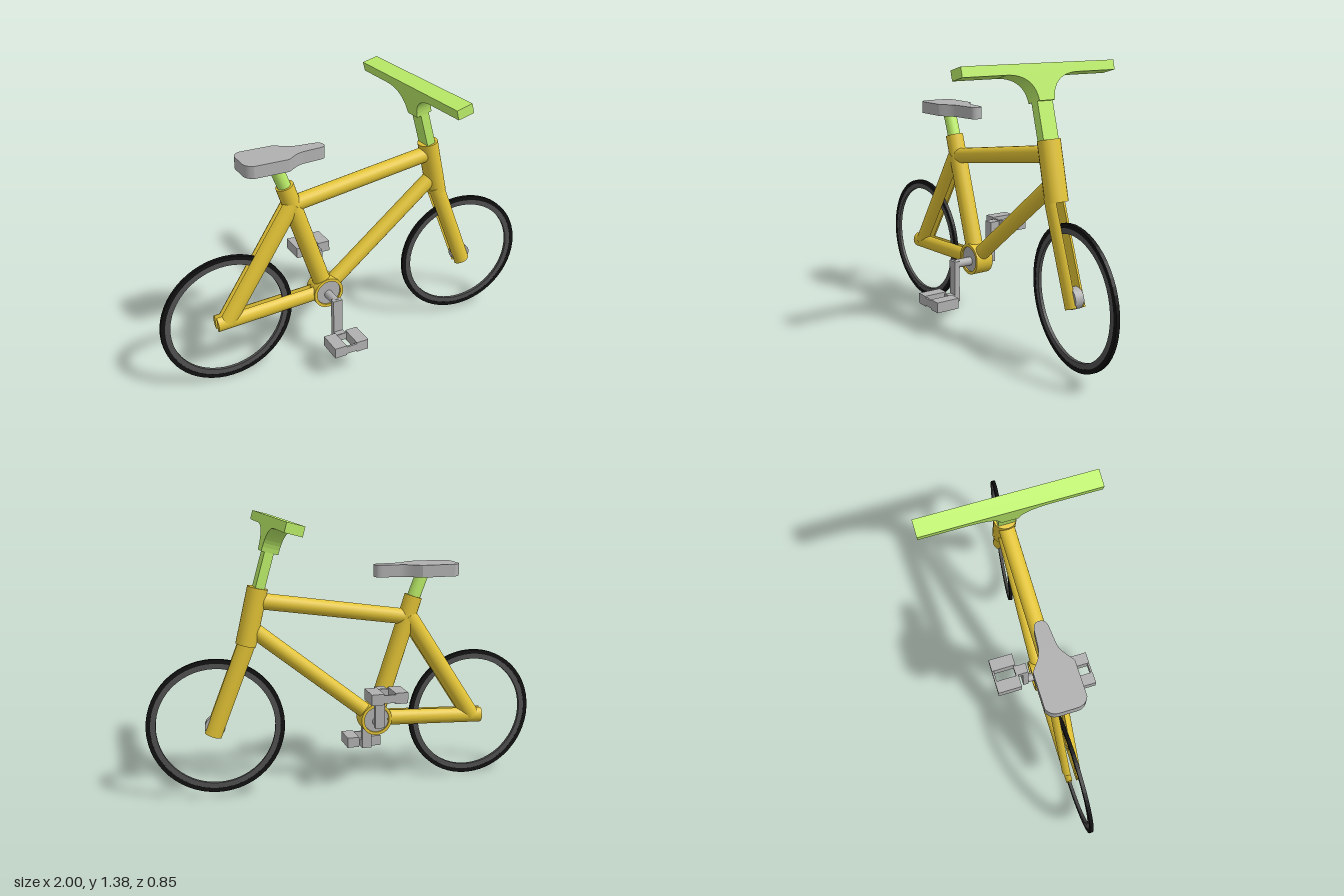
import * as THREE from 'three';

const material = (color) => new THREE.MeshStandardMaterial({ color });
const YELLOW = material(0xe3c436);
const GREEN = material(0xbdf06a);
const GREY = material(0xb0b0b0);
const BLACK = material(0x111111);
const RIM = material(0x505050);

function add(parent, name, geometry, mat, x = 0, y = 0, z = 0) {
  const mesh = new THREE.Mesh(geometry, mat);
  mesh.name = name;
  mesh.position.set(x, y, z);
  parent.add(mesh);
  return mesh;
}

// Places a geometry built along +y so that it runs from a to b in the xy plane
function along(parent, name, geometry, mat, a, b) {
  const mesh = add(parent, name, geometry, mat, (a[0] + b[0]) / 2, (a[1] + b[1]) / 2);
  mesh.rotation.z = Math.atan2(b[1] - a[1], b[0] - a[0]) - Math.PI / 2;
  return mesh;
}

const dist = (a, b) => Math.hypot(b[0] - a[0], b[1] - a[1]);

function tube(parent, name, a, b, r, mat = YELLOW) {
  return along(parent, name, new THREE.CylinderGeometry(r, r, dist(a, b), 20), mat, a, b);
}

// A tube slotted lengthwise: two mirrored circle segments with a gap for the wheel
function splitTube(parent, name, a, b, r, gap) {
  const t = Math.asin(gap / r);
  const shape = new THREE.Shape();
  shape.absarc(0, 0, r, t, Math.PI - t, false);
  const length = dist(a, b);
  for (const side of [0, Math.PI]) {
    const g = new THREE.ExtrudeGeometry(shape, { depth: length, bevelEnabled: false, curveSegments: 12 });
    g.translate(0, 0, -length / 2).rotateX(-Math.PI / 2).rotateY(side);
    along(parent, name + (side ? 'Left' : 'Right'), g, YELLOW, a, b);
  }
}

// Ring with a rectangular section, axis along z
function ring(parent, name, inner, outer, halfWidth, mat, x, y, sides = 28) {
  const shape = new THREE.Shape();
  shape.absarc(0, 0, outer, 0, Math.PI * 2, false);
  const hole = new THREE.Path();
  hole.absarc(0, 0, inner, 0, Math.PI * 2, true);
  shape.holes.push(hole);
  const g = new THREE.ExtrudeGeometry(shape, { depth: halfWidth * 2, bevelEnabled: false, curveSegments: sides });
  return add(parent, name, g.translate(0, 0, -halfWidth), mat, x, y);
}

function wheel(parent, name, x, y) {
  const group = new THREE.Group();
  group.name = name;
  parent.add(group);
  ring(group, 'tire', 0.315, 0.336, 0.009, BLACK, x, y);
  ring(group, 'rim', 0.289, 0.315, 0.008, RIM, x, y);
}

function addFrame(bike) {
  const crank = [-0.14, 0.355];
  tube(bike, 'topTube', [-0.31, 0.87], [0.44, 0.985], 0.04);
  tube(bike, 'downTube', crank.map((v, i) => v + [0.05, 0.04][i]), [0.47, 0.845], 0.039);
  tube(bike, 'seatTube', [-0.16, 0.42], [-0.342, 0.975], 0.045);
  splitTube(bike, 'chainStay', [-0.725, 0.325], [-0.2, 0.353], 0.042, 0.013);
  splitTube(bike, 'seatStay', [-0.67, 0.33], [-0.31, 0.88], 0.047, 0.013);
  tube(bike, 'headTube', [0.446, 1.05], [0.51, 0.775], 0.05).scale.z = 1.12;
  ring(bike, 'crankShell', 0.065, 0.08, 0.048, YELLOW, ...crank);
}

function addCranks(bike) {
  const disc = new THREE.CylinderGeometry(0.065, 0.065, 0.08, 24).rotateX(Math.PI / 2);
  add(bike, 'bearing', disc, GREY, -0.14, 0.355);
  const axle = new THREE.CylinderGeometry(0.022, 0.022, 0.22, 16).rotateX(Math.PI / 2);
  add(bike, 'axle', axle, GREY, -0.14, 0.345, 0.025);
  // Arm z, pedal y and pedal z on each side
  for (const [armZ, pedalY, pedalZ] of [[0.134, 0.167, 0.232], [-0.088, 0.521, -0.189]]) {
    const dir = Math.sign(pedalY - 0.345);
    const height = Math.abs(pedalY - 0.345) + 0.036;
    add(bike, 'crankArm', new THREE.BoxGeometry(0.05, height, 0.028), GREY, -0.14, 0.345 + dir * (height / 2 - 0.018), armZ);
    add(bike, 'pedalSpindle', new THREE.BoxGeometry(0.05, 0.036, Math.abs(pedalZ - armZ) - 0.05), GREY,
      -0.14, pedalY, (pedalZ + armZ) / 2 - Math.sign(armZ) * 0.025);
    for (const s of [-1, 1]) {
      add(bike, 'pedalBlock', new THREE.BoxGeometry(0.063, 0.054, 0.124), GREY, -0.14 + s * 0.06, pedalY, pedalZ);
      add(bike, 'pedalEnd', new THREE.BoxGeometry(0.06, 0.04, 0.01), GREY, -0.14, pedalY, pedalZ + s * 0.057);
    }
  }
}

function addSaddle(bike) {
  tube(bike, 'seatPost', [-0.335, 0.95], [-0.392, 1.1], 0.033, GREEN);
  const s = new THREE.Shape();
  s.moveTo(-0.52, -0.096);
  s.lineTo(-0.35, -0.096);
  s.bezierCurveTo(-0.31, -0.07, -0.29, -0.042, -0.24, -0.04);
  s.lineTo(-0.165, -0.034);
  s.quadraticCurveTo(-0.13, -0.03, -0.13, 0);
  s.quadraticCurveTo(-0.13, 0.03, -0.165, 0.034);
  s.lineTo(-0.24, 0.04);
  s.bezierCurveTo(-0.29, 0.042, -0.31, 0.07, -0.35, 0.096);
  s.lineTo(-0.52, 0.096);
  s.quadraticCurveTo(-0.557, 0.08, -0.557, 0.04);
  s.lineTo(-0.557, -0.04);
  s.quadraticCurveTo(-0.557, -0.08, -0.52, -0.096);
  const g = new THREE.ExtrudeGeometry(s, { depth: 0.06, bevelEnabled: false });
  add(bike, 'saddle', g.rotateX(-Math.PI / 2), GREY, 0, 1.08, -0.01);
}

function addHandlebar(bike) {
  const a = [0.45, 1.02], b = [0.392, 1.225];
  along(bike, 'stem', new THREE.BoxGeometry(0.045, dist(a, b), 0.086), GREEN, a, b);
  // Flared T outline, extruded front to back and leaned back
  const s = new THREE.Shape();
  s.moveTo(-0.043, 0);
  s.lineTo(0.043, 0);
  s.bezierCurveTo(0.05, 0.09, 0.12, 0.12, 0.2, 0.12);
  s.lineTo(0.427, 0.12);
  s.lineTo(0.427, 0.167);
  s.lineTo(-0.427, 0.167);
  s.lineTo(-0.427, 0.12);
  s.lineTo(-0.2, 0.12);
  s.bezierCurveTo(-0.12, 0.12, -0.05, 0.09, -0.043, 0);
  const g = new THREE.ExtrudeGeometry(s, { depth: 0.083, bevelEnabled: false, curveSegments: 12 });
  g.translate(0, 0, -0.0415).rotateY(Math.PI / 2);
  add(bike, 'handlebar', g, GREEN, 0.392, 1.215).rotation.z = 0.26;
}

function addFront(bike) {
  // Fork and wheel steer slightly to one side
  const pivot = [0.5, 0.78];
  const steer = new THREE.Group();
  steer.name = 'steeringAssembly';
  steer.position.set(...pivot, 0.008);
  steer.rotateOnAxis(new THREE.Vector3(-0.15, 1, 0).normalize(), -0.13);
  bike.add(steer);
  const inner = new THREE.Group();
  inner.name = 'forkAndWheel';
  inner.position.set(-pivot[0], -pivot[1], 0);
  steer.add(inner);
  splitTube(inner, 'forkLeg', [0.68, 0.33], [0.497, 0.8], 0.046, 0.018);
  const hub = new THREE.CylinderGeometry(0.05, 0.05, 0.044, 24).rotateX(Math.PI / 2);
  add(inner, 'frontHub', hub, GREY, 0.668, 0.375);
  wheel(inner, 'frontWheel', 0.664, 0.372);
}

export function createModel() {
  const bike = new THREE.Group();
  bike.name = 'bicycle';
  addFrame(bike);
  addCranks(bike);
  addSaddle(bike);
  addHandlebar(bike);
  wheel(bike, 'rearWheel', -0.664, 0.342);
  addFront(bike);
  return bike;
}
